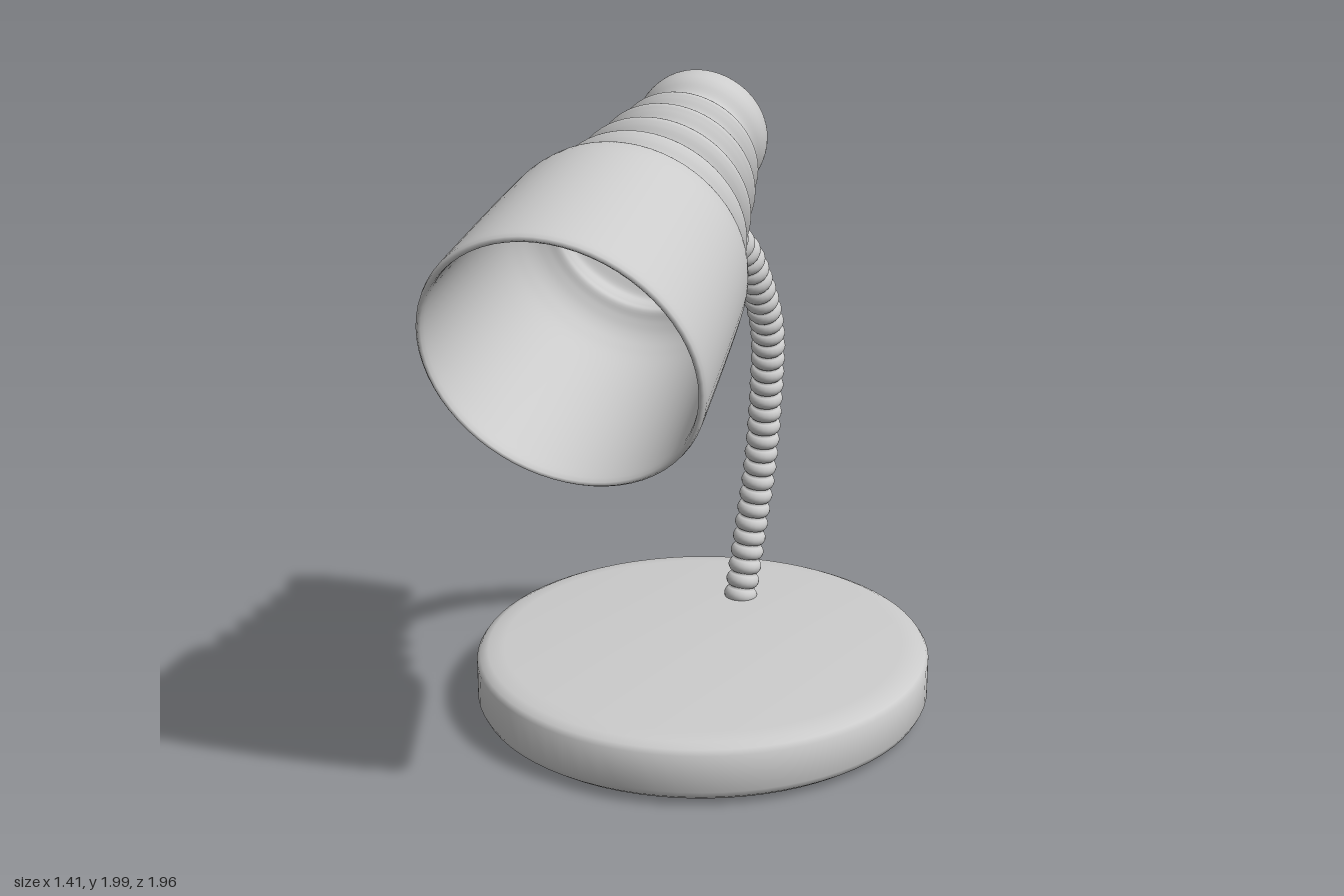
import * as THREE from 'three';
import { mergeVertices, toCreasedNormals } from 'three/addons/utils/BufferGeometryUtils.js';

const material = new THREE.MeshStandardMaterial({ color: 0xcccccc });
const v2 = (p) => new THREE.Vector2(p[0], p[1]);

function addMesh(group, name, geometry) {
  const mesh = new THREE.Mesh(geometry, material);
  mesh.name = name;
  group.add(mesh);
  return mesh;
}

// Heavy disc with softened edges
function baseGeometry() {
  const profile = [
    [0, 0], [0.62, 0], [0.67, 0.012], [0.695, 0.03], [0.705, 0.05],
    [0.705, 0.165], [0.695, 0.18], [0.67, 0.192], [0.62, 0.198], [0, 0.2],
  ].map(v2);
  return toCreasedNormals(new THREE.LatheGeometry(profile, 72), 0.6);
}

// Ribbed hose: a tube whose radius swells once per ring
function hoseGeometry() {
  const path = new THREE.CatmullRomCurve3([
    [0, 0.18, -0.615], [0.02, 0.4, -0.65], [0.05, 0.65, -0.66], [0.077, 0.915, -0.63],
    [0.1, 1.14, -0.56], [0.1, 1.32, -0.44], [0.09, 1.46, -0.31], [0.07, 1.525, -0.175],
    [0.055, 1.55, -0.1], [0.025, 1.57, 0],
  ].map((p) => new THREE.Vector3(...p)));
  const rings = Math.round(path.getLength() / 0.05);
  const perRing = 10, steps = rings * perRing, sides = 20;
  const tube = new THREE.TubeGeometry(path, steps, 1, sides);
  const pos = tube.attributes.position;
  const p = new THREE.Vector3();
  for (let i = 0; i <= steps; i++) {
    const centre = path.getPointAt(i / steps);
    const swell = Math.sqrt(Math.abs(Math.sin((Math.PI * i) / perRing)));
    const radius = 0.034 + 0.02 * swell;
    for (let j = 0; j <= sides; j++) {
      const k = i * (sides + 1) + j;
      p.fromBufferAttribute(pos, k).sub(centre).multiplyScalar(radius).add(centre);
      pos.setXYZ(k, p.x, p.y, p.z);
    }
  }
  tube.deleteAttribute('uv');
  tube.deleteAttribute('normal');
  const merged = mergeVertices(tube, 1e-5);
  merged.computeVertexNormals();
  return { geometry: merged, end: path.getPointAt(1), direction: path.getTangentAt(1) };
}

// Hollow shade: closed cap, bellows ribs, shoulder and flared bell, thin wall
function shadeGeometry() {
  // [radius, distance from the cap] along the outside
  const outer = new THREE.SplineCurve([
    [0.14, 0.0], [0.172, 0.008], [0.187, 0.03], [0.194, 0.07], [0.19, 0.1], [0.175, 0.14],
    [0.19, 0.168], [0.212, 0.2], [0.207, 0.22], [0.193, 0.25], [0.212, 0.277],
    [0.237, 0.307], [0.23, 0.33], [0.214, 0.363], [0.233, 0.39],
    [0.26, 0.42], [0.253, 0.445], [0.232, 0.478], [0.255, 0.503],
    [0.284, 0.532], [0.282, 0.56], [0.27, 0.596], [0.295, 0.62],
    [0.32, 0.65], [0.337, 0.69], [0.351, 0.757], [0.37, 0.95], [0.388, 1.17],
  ].map(v2)).getPoints(135);
  const wall = 0.02;
  const inner = outer
    .filter((p) => p.y > 0.03)
    .map((p) => new THREE.Vector2(p.x - wall, p.y))
    .reverse();
  const rim = [[0.389, 1.19], [0.386, 1.203], [0.379, 1.21], [0.372, 1.205], [0.369, 1.19]].map(v2);
  const cap = [[0, 0.012], [0.008, 0.006], [0.02, 0.001], [0.07, 0]].map(v2);
  const inside = [[0.14, 0.024], [0, 0.024]].map(v2);
  return new THREE.LatheGeometry([...cap, ...outer, ...rim, ...inner, ...inside], 64);
}

export function createModel() {
  const lamp = new THREE.Group();
  lamp.name = 'deskLamp';

  const base = addMesh(lamp, 'base', baseGeometry());
  base.scale.z = 1.03;
  base.position.z = -0.255;

  const hose = hoseGeometry();
  addMesh(lamp, 'flexibleNeck', hose.geometry);

  // Rounded stub closing the neck inside the shade
  const tip = addMesh(lamp, 'neckTip', new THREE.SphereGeometry(0.045, 20, 12));
  tip.scale.y = 0.5;
  tip.position.copy(hose.end);
  tip.quaternion.setFromUnitVectors(new THREE.Vector3(0, 1, 0), hose.direction);

  const shade = addMesh(lamp, 'shade', shadeGeometry());
  shade.position.set(0, 1.829, -0.288);
  shade.rotation.x = THREE.MathUtils.degToRad(110.2);

  return lamp;
}
